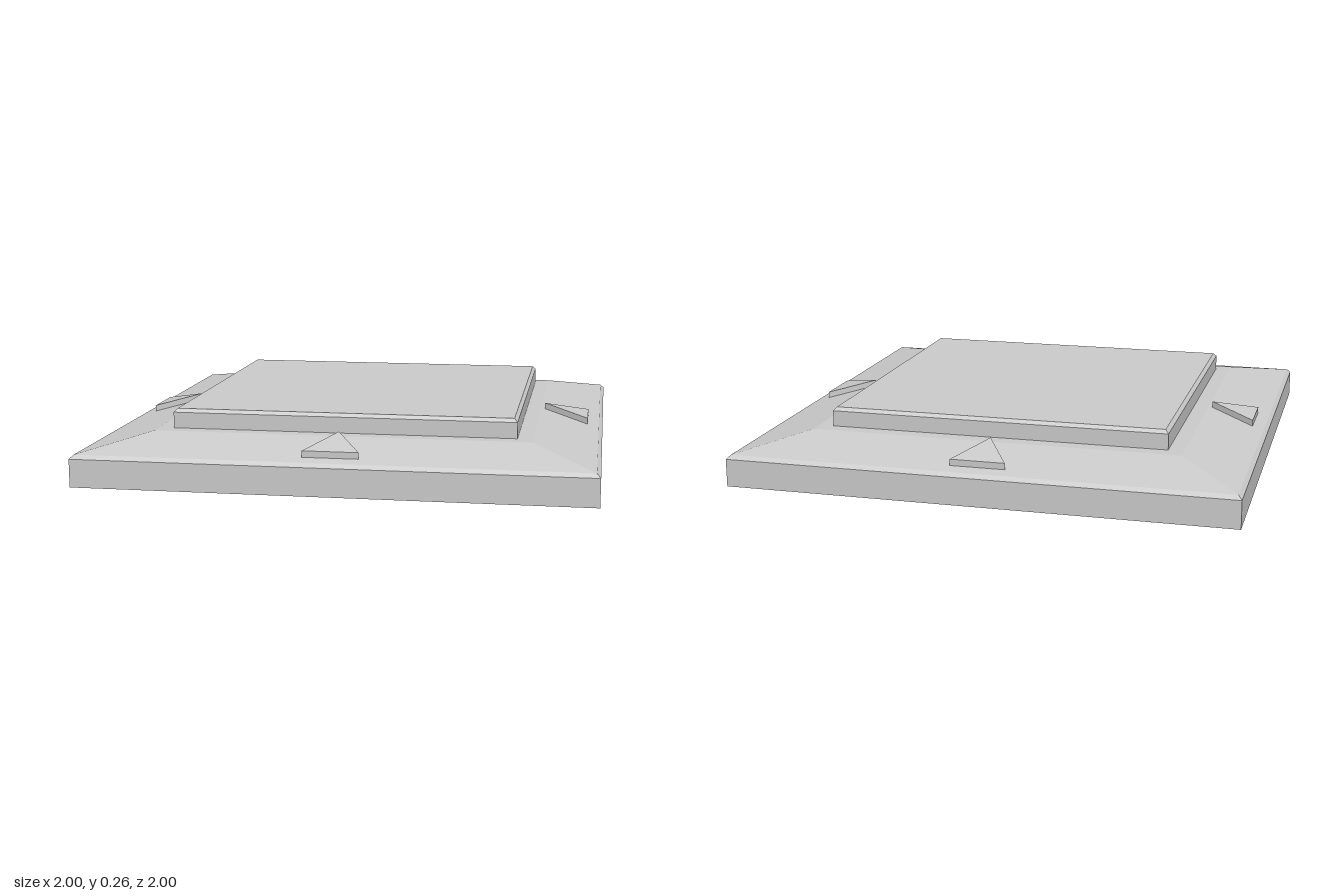
import * as THREE from 'three';

const material = new THREE.MeshStandardMaterial({
  color: 0xcccccc, flatShading: true, side: THREE.DoubleSide,
});

// Sloping border: from the outer rim up to the inner ledge
const OUTER = 0.985, INNER = 0.74, LOW = 0.125, HIGH = 0.18;
const slopeY = (z) => LOW + (HIGH - LOW) * (OUTER - z) / (OUTER - INNER);

// Arrow outline on the front border, as [x, z], pointing inwards
const ARROW = [[-0.108, 0.938], [0.108, 0.938], [0, 0.755]];
const ARROW_HEIGHT = 0.025;

function addMesh(parent, name, geometry) {
  const mesh = new THREE.Mesh(geometry, material);
  mesh.name = name;
  parent.add(mesh);
  return mesh;
}

// Square shell from a profile of [half width, height], bottom to top
function squareShell(profile) {
  const points = profile.map(([h, y]) => new THREE.Vector2(h * Math.SQRT2, y));
  return new THREE.LatheGeometry(points, 4, Math.PI / 4);
}

// Plan outline laid onto the front slope, raised by lift
function slopeSheet(outline, lift, hole) {
  const toVectors = (list) => list.map(([x, z]) => new THREE.Vector2(x, -z));
  const shape = new THREE.Shape(toVectors(outline));
  if (hole) shape.holes.push(new THREE.Path(toVectors(hole)));
  const geometry = new THREE.ShapeGeometry(shape);
  geometry.rotateX(-Math.PI / 2);
  const p = geometry.attributes.position;
  for (let i = 0; i < p.count; i++) p.setY(i, slopeY(p.getZ(i)) + lift);
  geometry.computeVertexNormals();
  return geometry;
}

// Three upright walls around an arrow
function arrowWalls() {
  const positions = [];
  ARROW.forEach(([ax, az], i) => {
    const [bx, bz] = ARROW[(i + 1) % 3];
    const a = [ax, slopeY(az), az], b = [bx, slopeY(bz), bz];
    const A = [ax, a[1] + ARROW_HEIGHT, az], B = [bx, b[1] + ARROW_HEIGHT, bz];
    positions.push(...a, ...b, ...B, ...a, ...B, ...A);
  });
  const geometry = new THREE.BufferGeometry();
  geometry.setAttribute('position', new THREE.Float32BufferAttribute(positions, 3));
  geometry.computeVertexNormals();
  return geometry;
}

export function createModel() {
  const model = new THREE.Group();
  model.name = 'squarePlate';

  // Outer skirt with a small bevel, open underneath
  addMesh(model, 'skirt', squareShell([[1, 0], [1, 0.11], [OUTER, LOW]]));

  // Flat ledge and raised centre platform, hollow below
  addMesh(model, 'ledge', squareShell([[INNER, HIGH], [0.68, HIGH]]));
  addMesh(model, 'platform',
    squareShell([[0.68, HIGH], [0.68, 0.243], [0.667, 0.257], [0, 0.257]]));

  // Four sloping border panels, each with a hollow arrow
  const panel = slopeSheet(
    [[-OUTER, OUTER], [OUTER, OUTER], [INNER, INNER], [-INNER, INNER]], 0, ARROW);
  const top = slopeSheet(ARROW, ARROW_HEIGHT);
  const walls = arrowWalls();
  ['front', 'left', 'back', 'right'].forEach((side, i) => {
    const group = new THREE.Group();
    group.name = side + 'Border';
    group.rotation.y = i * Math.PI / 2;
    addMesh(group, side + 'Slope', panel);
    addMesh(group, side + 'ArrowTop', top);
    addMesh(group, side + 'ArrowWalls', walls);
    model.add(group);
  });

  return model;
}
